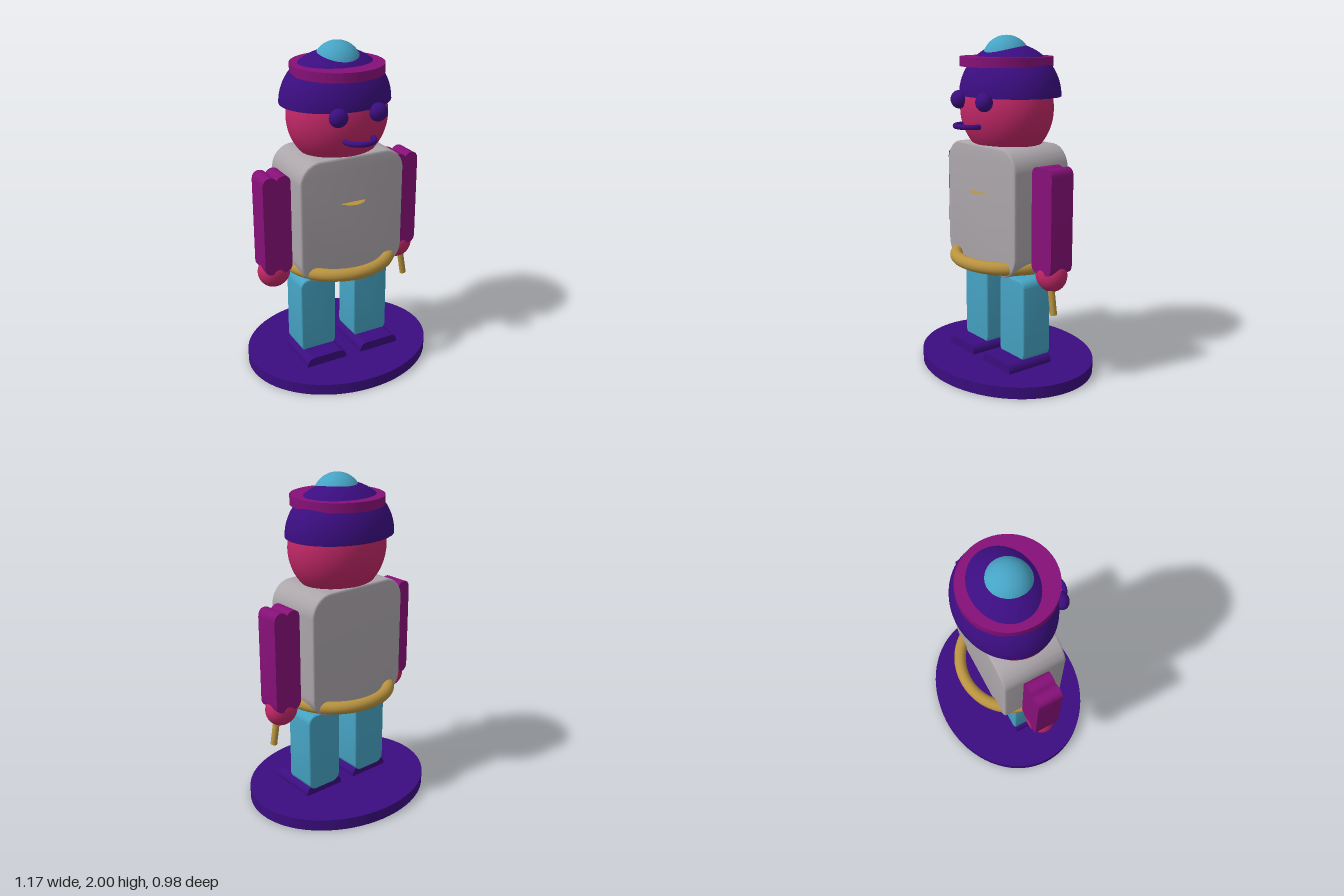
import * as THREE from 'three';
import { toCreasedNormals } from 'three/addons/utils/BufferGeometryUtils.js';

const paint = (name, color) => Object.assign(new THREE.MeshStandardMaterial({ color }), { name });

export function createModel() {
  const group = new THREE.Group();
  const purple = paint('deep purple', 0x3b0d80);
  purple.side = THREE.DoubleSide;
  const magenta = paint('magenta', 0x861078);
  const pink = paint('crimson pink', 0xc02766);
  const grey = paint('warm grey', 0xaca6ab);
  const blue = paint('sky blue', 0x46a3c4);
  const gold = paint('gold', 0xb8923f);
  gold.side = THREE.DoubleSide;

  const add = (name, geometry, material, x, y, z) => {
    const mesh = new THREE.Mesh(geometry, material);
    mesh.name = name;
    mesh.position.set(x, y, z);
    group.add(mesh);
    return mesh;
  };
  const ball = (name, material, x, y, z, rx, ry, rz) =>
    add(name, new THREE.SphereGeometry(1, 48, 32).scale(rx, ry, rz), material, x, y, z);

  // Extrude an outline along z, centred, with an optional small bevel
  const extrude = (shape, depth, bevel) => {
    const g = new THREE.ExtrudeGeometry(shape, {
      depth: depth - 2 * bevel, curveSegments: 10, bevelEnabled: bevel > 0,
      bevelSize: bevel, bevelOffset: -bevel, bevelThickness: bevel, bevelSegments: 3,
    });
    g.translate(0, 0, bevel - depth / 2);
    return toCreasedNormals(g, 0.6);
  };
  // Rectangle with rounded corners, centred on the origin
  const roundedRect = (w, h, r) => {
    const a = w / 2, b = h / 2, s = new THREE.Shape();
    s.absarc(a - r, b - r, r, 0, Math.PI / 2);
    s.absarc(r - a, b - r, r, Math.PI / 2, Math.PI);
    s.absarc(r - a, r - b, r, Math.PI, Math.PI * 1.5);
    s.absarc(a - r, r - b, r, Math.PI * 1.5, Math.PI * 2);
    return s;
  };
  // Arm outline with two lobes at each end
  const armShape = () => {
    const a = 0.086, b = 0.3, s = new THREE.Shape();
    s.moveTo(a, -b + 0.045);
    s.lineTo(a, b - 0.045);
    s.bezierCurveTo(a, b + 0.015, 0.02, b + 0.015, 0, b - 0.02);
    s.bezierCurveTo(-0.02, b + 0.015, -a, b + 0.015, -a, b - 0.045);
    s.lineTo(-a, -b + 0.045);
    s.bezierCurveTo(-a, -b - 0.015, -0.02, -b - 0.015, 0, -b + 0.02);
    s.bezierCurveTo(0.02, -b - 0.015, a, -b - 0.015, a, -b + 0.045);
    return s;
  };

  // Oval stand
  add('base', new THREE.CylinderGeometry(0.585, 0.585, 0.07, 72).scale(1, 1, 0.84), purple, 0, 0.035, 0);

  // Paired limbs
  for (const [side, s] of [['left', 1], ['right', -1]]) {
    add(side + 'Foot', extrude(roundedRect(0.265, 0.095, 0.046), 0.31, 0), purple, s * 0.183, 0.0775, 0.06);
    add(side + 'Leg', extrude(roundedRect(0.232, 0.5, 0.05), 0.2, 0.008), blue, s * 0.182, 0.352, 0);
    add(side + 'Arm', extrude(armShape(), 0.156, 0), magenta, s * 0.426, 0.985, 0);
    ball(side + 'Hand', pink, s * 0.426, 0.668, 0, 0.1, 0.1, 0.084);
    ball(side + 'Eye', purple, s * 0.125, 1.635, 0.25, 0.055, 0.053, 0.046);
  }

  // Torso, belt and flat chest ornament
  add('torso', extrude(roundedRect(0.672, 0.75, 0.13), 0.39, 0.012), grey, 0, 1.005, 0);
  add('belt', new THREE.TorusGeometry(0.31, 0.038, 20, 72).rotateX(Math.PI / 2).scale(1.035, 1, 0.965),
    gold, 0, 0.689, 0);
  add('chestOrnament', new THREE.CircleGeometry(0.09, 32).rotateX(-Math.PI / 2), gold, 0, 1.1, 0.155);

  // Short stick held in the left hand
  add('stick', new THREE.CylinderGeometry(0.02, 0.02, 0.24, 20), gold, 0.454, 0.559, 0.02).rotation.z = 0.17;

  // Head and mouth
  ball('head', pink, 0, 1.582, 0, 0.305, 0.305, 0.256);
  add('mouth', new THREE.TorusGeometry(0.088, 0.015, 14, 36, Math.PI).rotateX(Math.PI / 2),
    purple, 0, 1.495, 0.255);

  // Domed hat with band and top knob
  add('hat', new THREE.SphereGeometry(1, 64, 24, 0, Math.PI * 2, 0, Math.PI / 2).scale(0.335, 0.3, 0.277),
    purple, 0, 1.655, -0.023);
  add('hatBand', new THREE.CylinderGeometry(0.271, 0.271, 0.055, 64), magenta, 0, 1.852, 0);
  ball('hatKnob', blue, 0, 1.86, 0, 0.14, 0.14, 0.14);

  return group;
}
